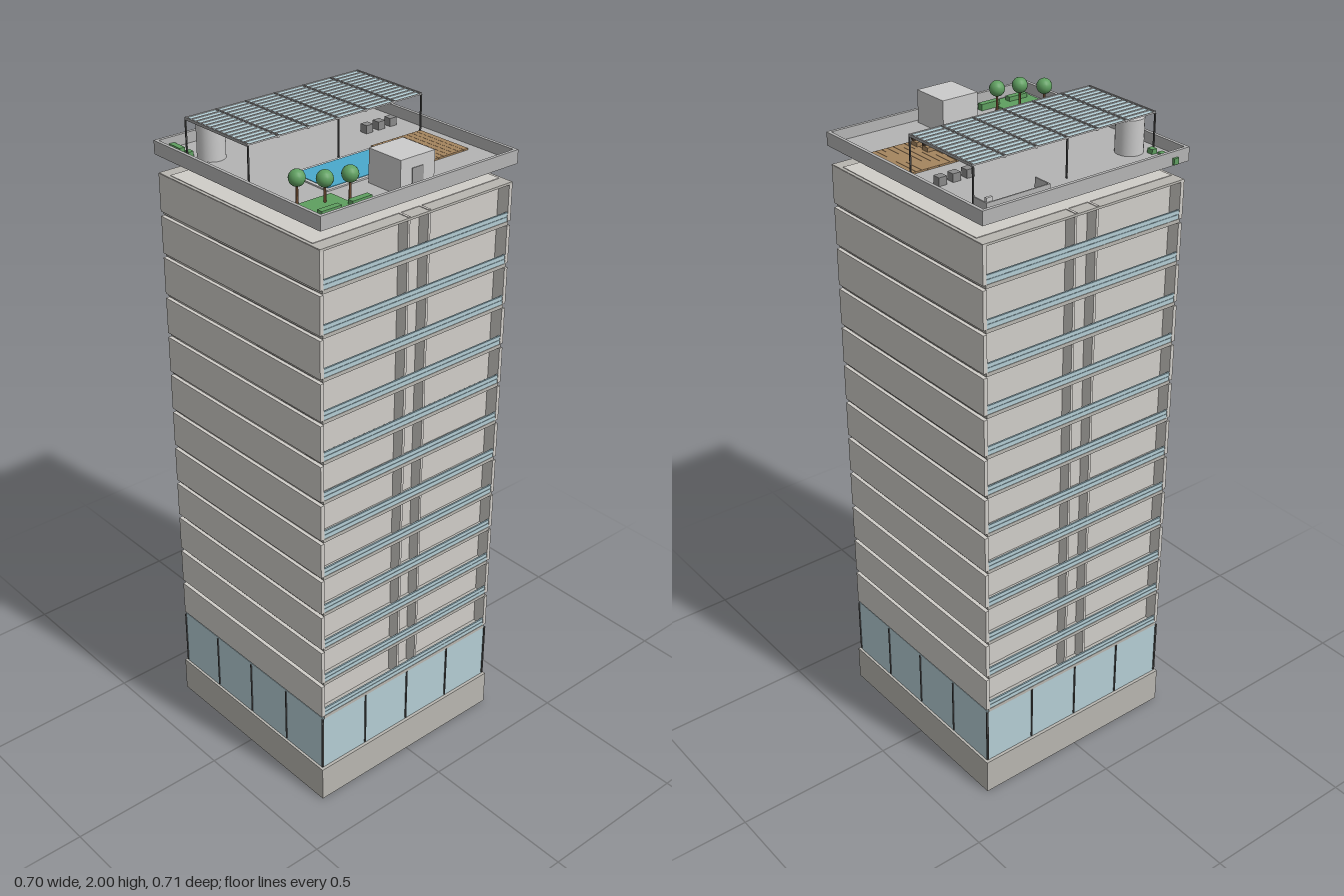
import * as THREE from 'three';

const mats = {};
const mat = (c) => (mats[c] ??= new THREE.MeshStandardMaterial({ color: c }));
const WALL = 0xd0cdc8, CONCRETE = 0xb8b6b0, GLASS = 0xb4cdd4, RAIL = 0x8fa9b2,
  DARK = 0x555555, ROOF = 0xb4b4b4, WOOD = 0xa5855f, GREEN = 0x5f9f60;

// box given by its limits on each axis
function box(parent, name, color, [x0, x1], [y0, y1], [z0, z1]) {
  const m = new THREE.Mesh(new THREE.BoxGeometry(x1 - x0, y1 - y0, z1 - z0), mat(color));
  m.name = name;
  m.position.set((x0 + x1) / 2, (y0 + y1) / 2, (z0 + z1) / 2);
  parent.add(m);
  return m;
}

function group(parent, name) {
  const g = new THREE.Group();
  g.name = name;
  parent.add(g);
  return g;
}

// plinth and glazed lobby with mullions
function addLobby(tower) {
  const g = group(tower, 'lobby');
  box(g, 'plinth', CONCRETE, [-0.35, 0.35], [0, 0.115], [-0.35, 0.35]);
  box(g, 'lobbyGlass', GLASS, [-0.342, 0.342], [0.115, 0.31], [-0.34, 0.34]);
  for (const s of [-1, 1]) {
    for (let i = 0; i <= 4; i++) {
      const p = -0.341 + i * 0.1705;
      const span = [p - 0.002, p + 0.002];
      box(g, 'mullion', DARK, span, [0.12, 0.305], [s * 0.342 - 0.002, s * 0.342 + 0.002]);
      box(g, 'mullion', DARK, [s * 0.343 - 0.002, s * 0.343 + 0.002], [0.12, 0.305], span);
    }
  }
}

// one storey: slab, recessed core, side walls, fins and balcony rails on both faces
function addStorey(tower, y) {
  const g = group(tower, 'storey');
  const top = y + 0.1268;
  box(g, 'floorSlab', CONCRETE, [-0.336, 0.336], [y, y + 0.011], [-0.342, 0.342]);
  box(g, 'core', WALL, [-0.334, 0.334], [y + 0.011, top], [-0.302, 0.302]);
  for (const s of [-1, 1]) {
    const sx = s * 0.339;
    box(g, 'sideWall', WALL, [sx - 0.006, sx + 0.006], [y + 0.011, top - 0.003], [-0.342, 0.342]);
    for (const f of [-1, 1]) {
      const wx = f * 0.037;
      box(g, 'fin', WALL, [wx - 0.004, wx + 0.004], [y + 0.011, top], [s * 0.32 - 0.018, s * 0.32 + 0.018]);
    }
    box(g, 'balconyGlass', GLASS, [-0.333, 0.333], [y + 0.011, y + 0.036], [s * 0.339 - 0.0015, s * 0.339 + 0.0015]);
    for (const h of [0.024, 0.037]) {
      box(g, 'handrail', RAIL, [-0.333, 0.333], [y + h - 0.0015, y + h + 0.0015], [s * 0.339 - 0.0025, s * 0.339 + 0.0025]);
    }
  }
}

// slatted canopy on thin posts
function addPergola(roof) {
  const g = group(roof, 'pergola');
  const x0 = -0.308, x1 = 0.306, z0 = -0.254, z1 = 0.016;
  box(g, 'canopyGlass', GLASS, [x0, x1], [1.9945, 1.9965], [z0, z1]);
  for (let i = 0; i <= 6; i++) {
    const x = x0 + ((x1 - x0) * i) / 6;
    box(g, 'beam', 0x999999, [x - 0.0025, x + 0.0025], [1.992, 2], [z0, z1]);
  }
  for (let i = 0; i <= 13; i++) {
    const z = z0 + ((z1 - z0) * i) / 13;
    box(g, 'slat', 0xcccccc, [x0, x1], [1.995, 1.999], [z - 0.0015, z + 0.0015]);
  }
  for (const x of [x0, 0, x1]) for (const z of [z0, z1]) {
    box(g, 'post', DARK, [x - 0.002, x + 0.002], [1.886, 1.994], [z - 0.002, z + 0.002]);
  }
}

function addGarden(roof) {
  const g = group(roof, 'garden');
  box(g, 'lawn', GREEN, [-0.325, -0.19], [1.886, 1.892], [0.205, 0.325]);
  for (const x of [-0.307, -0.205]) box(g, 'hedge', GREEN, [x, x + 0.066], [1.886, 1.905], [0.288, 0.307]);
  // planting along the back edge, partly hanging over it
  box(g, 'edgePlanting', GREEN, [-0.306, -0.289], [1.886, 1.9], [-0.34, -0.29]);
  box(g, 'edgePlanting', GREEN, [-0.306, -0.289], [1.882, 1.9], [-0.356, -0.34]);
  box(g, 'edgePlanting', GREEN, [-0.306, -0.289], [1.886, 1.9], [-0.27, -0.25]);
  for (const [x, z] of [[-0.29, 0.19], [-0.24, 0.24], [-0.17, 0.257]]) {
    const trunk = new THREE.Mesh(new THREE.CylinderGeometry(0.003, 0.004, 0.06, 8), mat(0x6b4a30));
    trunk.name = 'treeTrunk';
    trunk.position.set(x, 1.916, z);
    const crown = new THREE.Mesh(new THREE.SphereGeometry(0.023, 16, 12), mat(GREEN));
    crown.name = 'treeCrown';
    crown.position.set(x, 1.955, z);
    g.add(trunk, crown);
  }
}

function addRoof(tower) {
  const g = group(tower, 'roofTerrace');
  // floating tray with parapet
  box(g, 'roofSlab', ROOF, [-0.35, 0.35], [1.878, 1.886], [-0.349, 0.351]);
  for (const s of [-1, 1]) {
    box(g, 'parapet', ROOF, [s * 0.345 - 0.005, s * 0.345 + 0.005], [1.886, 1.918], [-0.349, 0.351]);
    box(g, 'parapet', ROOF, [-0.34, 0.34], [1.886, 1.918], [s * 0.345 - 0.004, s * 0.345 + 0.006]);
  }
  // pool basin hanging under the tray
  box(g, 'poolBasin', 0xc6d6e2, [-0.175, 0.107], [1.825, 1.88], [0.032, 0.175]);
  box(g, 'poolRim', 0xd8d8d8, [-0.182, 0.115], [1.886, 1.89], [0.025, 0.182]);
  box(g, 'poolWater', 0x4aa9cc, [-0.172, 0.102], [1.888, 1.8915], [0.035, 0.172]);
  // sun deck and loungers
  for (let i = 0; i < 10; i++) {
    const x = 0.12 + i * 0.0188;
    box(g, 'deckBoard', WOOD, [x, x + 0.018], [1.886, 1.891], [0.016, 0.205]);
  }
  for (const z of [0.11, 0.16]) {
    box(g, 'loungerSeat', WOOD, [0.121, 0.183], [1.891, 1.903], [z, z + 0.026]);
    box(g, 'loungerBack', 0x4b3a2c, [0.121, 0.183], [1.903, 1.914], [z + 0.017, z + 0.026]);
  }
  // stair cabin with door
  box(g, 'stairCabin', 0xcccccc, [-0.06, 0.06], [1.886, 1.982], [0.205, 0.326]);
  box(g, 'cabinDoor', 0x9a9a9a, [-0.02, 0.02], [1.886, 1.952], [0.326, 0.328]);
  // water tank
  const tank = new THREE.Mesh(new THREE.CylinderGeometry(0.04, 0.04, 0.1, 24), mat(0xbfbfbf));
  tank.name = 'waterTank';
  tank.position.set(-0.257, 1.936, -0.212);
  g.add(tank);
  // low enclosure and seats under the canopy
  box(g, 'lowWall', ROOF, [0.1, 0.306], [1.886, 1.914], [-0.309, -0.305]);
  box(g, 'lowWall', ROOF, [0.1, 0.104], [1.886, 1.914], [-0.305, -0.25]);
  box(g, 'lowWall', ROOF, [0.302, 0.306], [1.886, 1.914], [-0.305, -0.25]);
  box(g, 'ventUnit', 0xcccccc, [0.283, 0.302], [1.886, 1.925], [-0.304, -0.296]);
  for (const x of [0.18, 0.225, 0.27]) box(g, 'seat', 0x8a8a8a, [x, x + 0.025], [1.886, 1.91], [-0.095, -0.07]);
  addPergola(g);
  addGarden(g);
}

export function createModel() {
  const model = new THREE.Group();
  model.name = 'apartmentTower';
  const tower = group(model, 'tower');
  addLobby(tower);
  for (let i = 0; i < 12; i++) addStorey(tower, 0.305 + i * 0.1268);
  box(tower, 'topSlab', CONCRETE, [-0.344, 0.344], [1.818, 1.825], [-0.342, 0.342]);
  addRoof(tower);
  tower.position.z = 0.002;
  return model;
}
